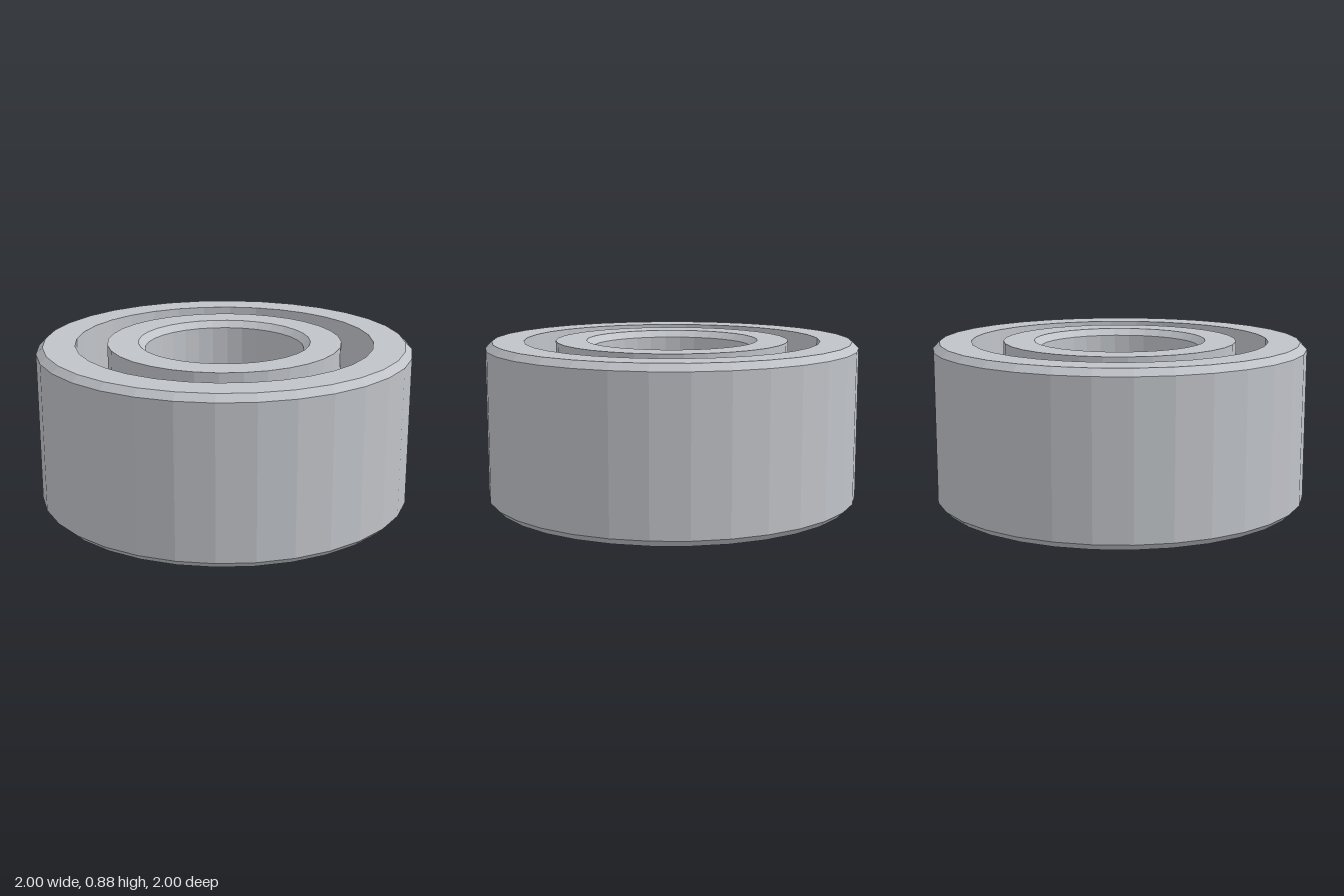
import * as THREE from 'three';

const HEIGHT = 0.875, MID = HEIGHT / 2, BEVEL = 0.035;
const PITCH = 0.71, BALL = 0.13, GROOVE = 0.135, SIDES = 32, BALLS = 12;

// Raceway arc cut into a ring wall of the given radius, from low to high
function groove(wall) {
  const side = Math.sign(wall - PITCH);
  const half = Math.acos(Math.abs(wall - PITCH) / GROOVE);
  const points = [];
  for (let i = 0; i <= 8; i++) {
    const a = -half + (2 * half * i) / 8;
    points.push([PITCH + side * GROOVE * Math.cos(a), MID + GROOVE * Math.sin(a)]);
  }
  return points;
}

// Closed counter-clockwise profile turned around the y axis
function ring(name, profile, material) {
  const points = [...profile, profile[0]].map(([r, y]) => new THREE.Vector2(r, y));
  const geometry = new THREE.LatheGeometry(points, SIDES).toNonIndexed();
  geometry.computeVertexNormals();
  const mesh = new THREE.Mesh(geometry, material);
  mesh.name = name;
  return mesh;
}

export function createModel() {
  const model = new THREE.Group();
  model.name = 'ballBearing';
  const steel = new THREE.MeshStandardMaterial({ color: 0xc0c3c8 });
  steel.name = 'steel';

  // Outer race: bevelled outside, grooved inside
  const outer = 1, outerWall = 0.795;
  model.add(ring('outerRing', [
    [outerWall, 0], [outer - BEVEL, 0], [outer, BEVEL],
    [outer, HEIGHT - BEVEL], [outer - BEVEL, HEIGHT], [outerWall, HEIGHT],
    ...groove(outerWall).reverse(),
  ], steel));

  // Inner race: bevelled bore, grooved outside
  const bore = 0.425, innerWall = 0.625;
  model.add(ring('innerRing', [
    [bore + BEVEL, 0], [innerWall, 0],
    ...groove(innerWall),
    [innerWall, HEIGHT], [bore + BEVEL, HEIGHT],
    [bore, HEIGHT - BEVEL], [bore, BEVEL],
  ], steel));

  // Balls spaced evenly between the races
  const balls = new THREE.Group();
  balls.name = 'balls';
  const ballGeometry = new THREE.IcosahedronGeometry(BALL, 3);
  ballGeometry.computeVertexNormals(); // faceted
  for (let i = 0; i < BALLS; i++) {
    const a = (i / BALLS) * Math.PI * 2;
    const ball = new THREE.Mesh(ballGeometry, steel);
    ball.name = `ball${i + 1}`;
    ball.position.set(PITCH * Math.sin(a), MID, PITCH * Math.cos(a));
    ball.rotation.y = a;
    balls.add(ball);
  }
  model.add(balls);
  return model;
}
